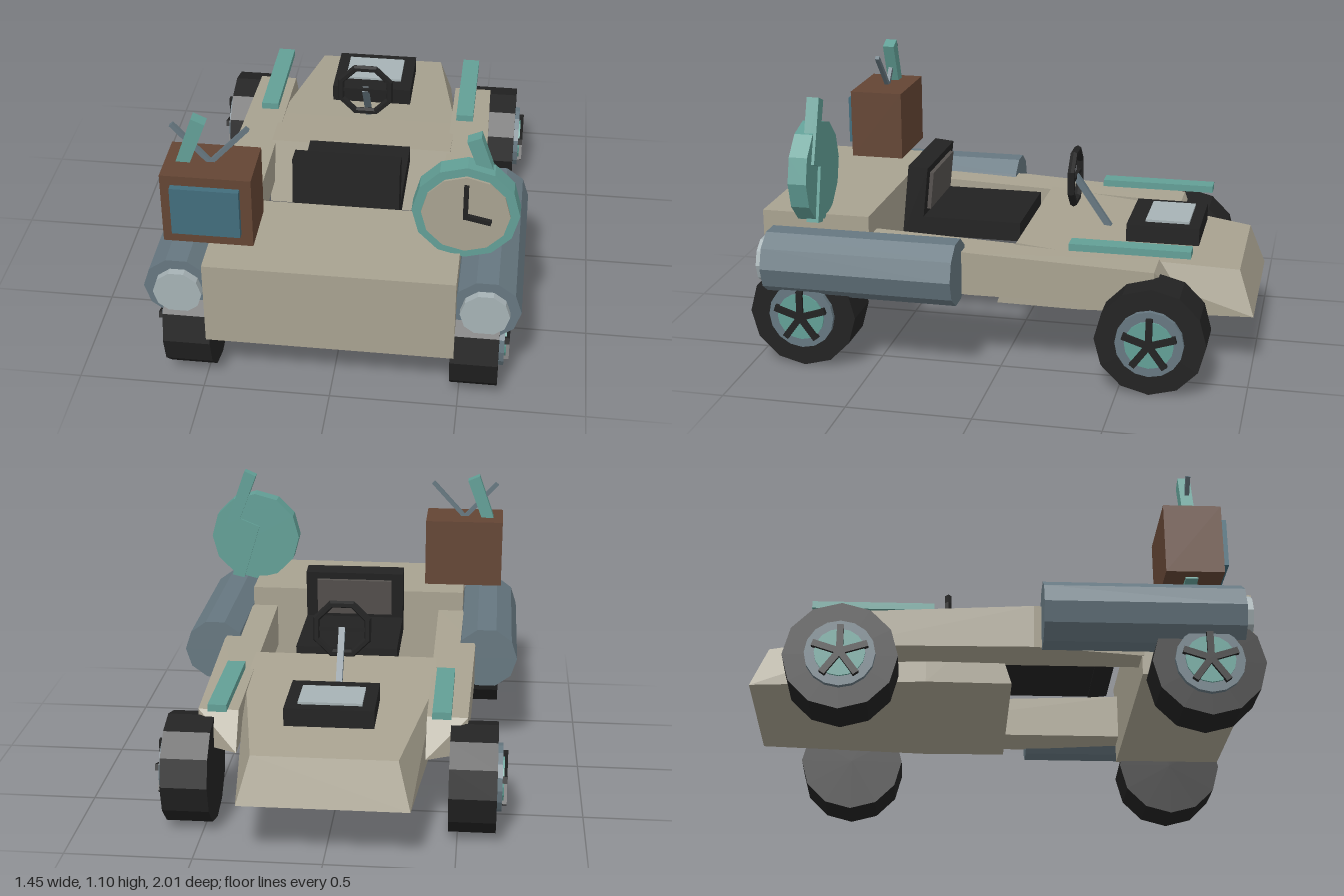
import * as THREE from 'three';
import { ConvexGeometry } from 'three/addons/geometries/ConvexGeometry.js';

const colours = {
  tan: 0xa8a290, black: 0x222222, teal: 0x629f96, steel: 0x667780, lens: 0xa6b2b5,
  wood: 0x644534, screen: 0x426d7c, seatGrey: 0x55514e,
};

export function createModel() {
  const model = new THREE.Group();
  const mats = {};
  for (const [name, color] of Object.entries(colours)) {
    mats[name] = new THREE.MeshStandardMaterial({ color });
    mats[name].name = name;
  }

  // Adds a faceted mesh
  function add(name, geo, mat, parent = model) {
    const flat = geo.index ? geo.toNonIndexed() : geo;
    flat.computeVertexNormals();
    const mesh = new THREE.Mesh(flat, mats[mat]);
    mesh.name = name;
    parent.add(mesh);
    return mesh;
  }
  // Box given by its limits on each axis
  function box(name, mat, [x0, x1], [y0, y1], [z0, z1], parent) {
    const g = new THREE.BoxGeometry(x1 - x0, y1 - y0, z1 - z0);
    g.translate((x0 + x1) / 2, (y0 + y1) / 2, (z0 + z1) / 2);
    return add(name, g, mat, parent);
  }
  // Disc or drum along z
  function drumZ(name, mat, x, y, z0, z1, r, sides, parent) {
    const g = new THREE.CylinderGeometry(r, r, z1 - z0, sides);
    g.rotateY(Math.PI / 2).rotateX(Math.PI / 2).translate(x, y, (z0 + z1) / 2);
    return add(name, g, mat, parent);
  }
  // Disc or drum along x
  function drumX(name, mat, x0, x1, r, sides, parent) {
    const g = new THREE.CylinderGeometry(r, r, Math.abs(x1 - x0), sides);
    g.rotateZ(Math.PI / 2).translate((x0 + x1) / 2, 0, 0);
    return add(name, g, mat, parent);
  }
  // Thin square bar between two points
  function bar(name, mat, a, b, w) {
    const p = new THREE.Vector3(...a), q = new THREE.Vector3(...b);
    const mesh = add(name, new THREE.BoxGeometry(w, p.distanceTo(q), w), mat);
    mesh.position.copy(p).lerp(q, 0.5);
    mesh.quaternion.setFromUnitVectors(new THREE.Vector3(0, 1, 0), q.sub(p).normalize());
  }
  const hull = (name, mat, pts) =>
    add(name, new ConvexGeometry(pts.map(p => new THREE.Vector3(...p))), mat);

  // Body: tail box, tapered nose and side rails
  box('tailBox', 'tan', [-0.48, 0.48], [0.24, 0.595], [0.55, 1]);
  const nose = [];
  for (const s of [-1, 1]) {
    nose.push([s * 0.385, 0.23, 0.04], [s * 0.385, 0.495, -0.04],
      [s * 0.392, 0.23, -0.3], [s * 0.39, 0.471, -0.3],
      [s * 0.33, 0.23, -1], [s * 0.28, 0.41, -0.935]);
  }
  hull('nose', 'tan', nose);
  for (const s of [-1, 1]) {
    hull('sideRail', 'tan', [
      [s * 0.37, 0.463, -0.62], [s * 0.53, 0.463, -0.62],
      [s * 0.37, 0.318, -0.71], [s * 0.53, 0.318, -0.63],
      [s * 0.545, 0.496, 0.12], [s * 0.545, 0.318, 0.12],
      [s * 0.37, 0.51, 0.56], [s * 0.48, 0.51, 0.56],
      [s * 0.37, 0.318, 0.56], [s * 0.48, 0.318, 0.56],
    ]);
  }

  // Wheels with five-spoke hubs
  for (const s of [-1, 1]) for (const z of [0.785, -0.625]) {
    const wheel = new THREE.Group();
    wheel.name = 'wheel';
    wheel.position.set(0, 0.22, z);
    drumX('tyre', 'black', s * 0.465, s * 0.65, 0.22, 12, wheel);
    drumX('rim', 'steel', s * 0.64, s * 0.67, 0.135, 16, wheel);
    drumX('hubDisc', 'teal', s * 0.66, s * 0.677, 0.097, 16, wheel);
    for (let i = 0; i < 5; i++) {
      const g = new THREE.BoxGeometry(0.025, 0.11, 0.026);
      g.translate(s * 0.677, 0.055, 0).rotateX(i * Math.PI * 0.4);
      add('spoke', g, 'black', wheel);
    }
    model.add(wheel);
  }

  // Side pods with lamps, front fins
  for (const s of [-1, 1]) {
    drumZ('sidePod', 'steel', s * 0.593, 0.43, 0.15, 0.93, 0.134, 10);
    drumZ('lamp', 'lens', s * 0.59, 0.428, 0.92, 0.962, 0.095, 10);
    const xs = s > 0 ? [0.395, 0.468] : [-0.468, -0.395];
    box('fin', 'teal', xs, [0.508, 0.537], [-0.755, -0.27]);
  }

  // Seat with reclined back
  box('seatBase', 'black', [-0.215, 0.215], [0.44, 0.52], [-0.02, 0.45]);
  const seatBack = new THREE.Group();
  seatBack.name = 'seatBack';
  seatBack.position.set(0, 0.46, 0.44);
  seatBack.rotation.x = -0.1;
  box('backrest', 'black', [-0.215, 0.215], [-0.02, 0.275], [-0.04, 0.042], seatBack);
  box('backPanel', 'seatGrey', [-0.165, 0.165], [0.085, 0.245], [-0.056, -0.04], seatBack);
  model.add(seatBack);

  // Steering wheel and column
  const ring = new THREE.TorusGeometry(0.114, 0.016, 6, 8);
  ring.rotateZ(Math.PI / 8).translate(0, 0.672, -0.213);
  add('steeringWheel', ring, 'black');
  bar('steeringSpoke', 'black', [-0.105, 0.672, -0.213], [0.105, 0.672, -0.213], 0.016);
  bar('steeringColumn', 'steel', [0, 0.675, -0.213], [0, 0.46, -0.36], 0.026);

  // Hood display
  box('displayCase', 'black', [-0.175, 0.175], [0.46, 0.533], [-0.757, -0.457]);
  box('displayGlass', 'lens', [-0.125, 0.125], [0.53, 0.543], [-0.71, -0.53]);

  // Television with aerials
  box('televisionCase', 'wood', [-0.65, -0.303], [0.607, 0.905], [0.635, 0.867]);
  box('televisionScreen', 'screen', [-0.61, -0.347], [0.66, 0.865], [0.86, 0.893]);
  for (const x of [-0.62, -0.33]) bar('aerial', 'steel', [-0.477, 0.9, 0.747], [x, 1.06, 0.747], 0.018);

  // Clock with hands
  drumZ('clockCase', 'teal', 0.495, 0.785, 0.73, 0.805, 0.203, 12);
  drumZ('clockFace', 'tan', 0.495, 0.785, 0.8, 0.815, 0.167, 12);
  bar('minuteHand', 'black', [0.495, 0.775, 0.825], [0.495, 0.92, 0.825], 0.018);
  bar('hourHand', 'black', [0.493, 0.785, 0.825], [0.592, 0.763, 0.825], 0.018);

  // Zigzag bolts behind the clock and through the television
  const zigzag = [[0.488, 1.075], [0.54, 1.098], [0.628, 0.848], [0.55, 0.818],
    [0.605, 0.6], [0.55, 0.588], [0.475, 0.835], [0.565, 0.872]];
  for (const s of [-1, 1]) {
    const shape = new THREE.Shape(zigzag.map(([x, y]) => new THREE.Vector2(s * x, y)));
    const g = new THREE.ExtrudeGeometry(shape, { depth: 0.05, bevelEnabled: false });
    g.translate(0, 0, 0.718);
    add('zigzagBolt', g, 'teal');
  }

  return model;
}
